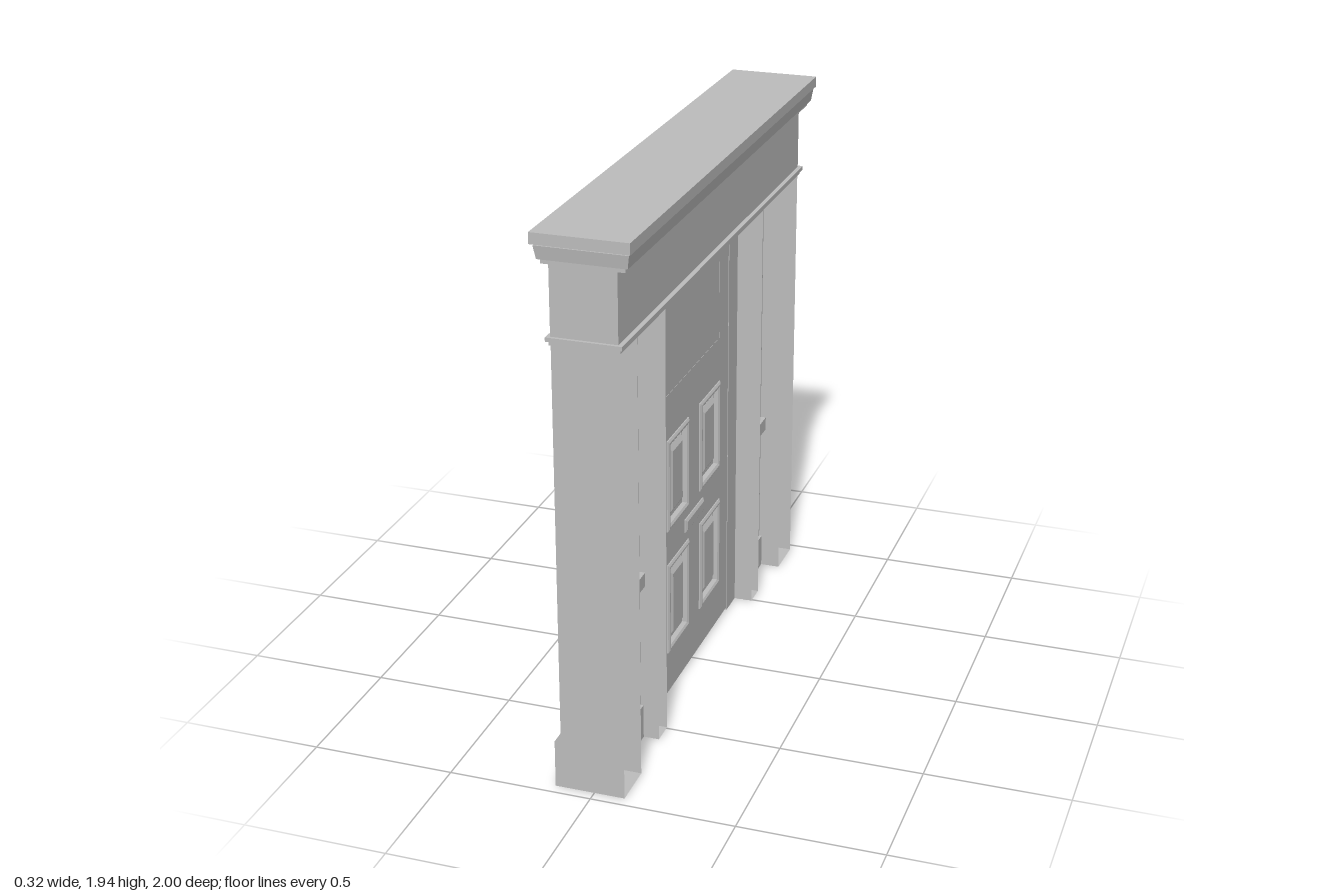
import * as THREE from 'three';

const stone = new THREE.MeshStandardMaterial({ color: 0xbcbcbc, side: THREE.DoubleSide });
stone.name = 'plain grey';

export function createModel() {
  const root = new THREE.Group();
  root.name = 'doorway';

  const add = (name, geometry, x = 0, y = 0, z = 0) => {
    const mesh = new THREE.Mesh(geometry, stone);
    mesh.name = name;
    mesh.position.set(x, y, z);
    root.add(mesh);
    return mesh;
  };

  const box = (name, x0, x1, y0, y1, z0, z1) =>
    add(name, new THREE.BoxGeometry(x1 - x0, y1 - y0, Math.abs(z1 - z0)),
      (x0 + x1) / 2, (y0 + y1) / 2, (z0 + z1) / 2);

  // Upright plate: rectangles are [z0, z1, y0, y1], thickness runs from x0 to x1
  const trace = (path, [z0, z1, y0, y1]) => {
    path.moveTo(z0, y0); path.lineTo(z1, y0); path.lineTo(z1, y1); path.lineTo(z0, y1); path.closePath();
    return path;
  };
  const extrude = (name, shape, x0, x1, bevel = 0) => {
    const g = new THREE.ExtrudeGeometry(shape, {
      depth: x1 - x0 - 2 * bevel, bevelEnabled: bevel > 0, bevelThickness: bevel,
      bevelSize: bevel * 1.6, bevelOffset: -bevel * 1.6, bevelSegments: 1,
    });
    g.rotateY(-Math.PI / 2);
    return add(name, g, x1 - bevel);
  };
  const plate = (name, rect, x0, x1, holes = [], bevel = 0) => {
    const shape = trace(new THREE.Shape(), rect);
    holes.forEach(h => shape.holes.push(trace(new THREE.Path(), h)));
    return extrude(name, shape, x0, x1, bevel);
  };
  const shrink = ([a, b, c, d], m) => [a + m, b - m, c + m, d - m];
  const frame = (name, rect, w, x0, x1, bevel = 0) => plate(name, rect, x0, x1, [shrink(rect, w)], bevel);

  // Octagonal tracery ring
  const octagon = (name, zc, yc, rz, ry, w, x0, x1) => {
    const points = k => Array.from({ length: 8 }, (_, i) => {
      const a = (i + 0.5) * Math.PI / 4;
      return new THREE.Vector2(zc + Math.cos(a) * (rz - k), yc + Math.sin(a) * (ry - k));
    });
    const shape = new THREE.Shape(points(0));
    shape.holes.push(new THREE.Path(points(w)));
    extrude(name, shape, x0, x1);
  };

  // Open shell joining equal cross-sections of [x, y, z] points
  const shell = (name, sections, mirrored) => {
    const pos = [];
    for (let i = 0; i + 1 < sections.length; i++) {
      for (let j = 0; j + 1 < sections[i].length; j++) {
        const a = sections[i][j], b = sections[i][j + 1], c = sections[i + 1][j + 1], d = sections[i + 1][j];
        (mirrored ? [a, b, c, a, c, d] : [a, c, b, a, d, c]).forEach(p => pos.push(...p));
      }
    }
    const g = new THREE.BufferGeometry();
    g.setAttribute('position', new THREE.Float32BufferAttribute(pos, 3));
    g.computeVertexNormals();
    add(name, g);
  };
  const foot = (name, x0, x1, z0, z1) => {
    const g = new THREE.PlaneGeometry(x1 - x0, Math.abs(z1 - z0));
    g.rotateX(Math.PI / 2);
    add(name, g, (x0 + x1) / 2, 0, (z0 + z1) / 2);
  };

  for (const s of [1, -1]) {
    const span = (a, b, c, d) => s > 0 ? [a, b, c, d] : [-b, -a, c, d];

    // Fluted pilaster with a plinth, hollow behind
    const section = (y, x, depth) => {
      const pts = [[0.106, y, s * 0.8], [x, y, s * 0.8]];
      for (const c of [0.837, 0.88, 0.923]) {
        [[-0.015, 0], [-0.009, depth], [0.009, depth], [0.015, 0]]
          .forEach(([dz, dx]) => pts.push([x + dx, y, s * (c + dz)]));
      }
      pts.push([x, y, s * 0.962], [0.106, y, s * 0.962]);
      return pts;
    };
    shell('pilaster', [[0, -0.137, 0], [0.17, -0.137, 0], [0.205, -0.115, 0], [0.25, -0.115, 0],
      [0.255, -0.115, 0.012], [1.525, -0.115, 0.012], [1.53, -0.115, 0], [1.58, -0.115, 0]]
      .map(v => section(...v)), s < 0);
    foot('pilasterFoot', -0.137, 0.106, s * 0.8, s * 0.962);

    // Moulded jamb post, hollow behind
    const jamb = y => [[0.09, 0.493], [-0.075, 0.493], [-0.075, 0.505], [-0.09, 0.512], [-0.09, 0.558],
      [-0.075, 0.565], [-0.075, 0.577], [0.09, 0.577]].map(([x, z]) => [x, y, s * z]);
    shell('jamb', [jamb(0), jamb(1.58)], s < 0);
    foot('jambFoot', -0.085, 0.09, s * 0.493, s * 0.577);

    // Side window over a raised panel
    const upper = span(0.612, 0.778, 0.66, 1.555), lower = span(0.6, 0.785, 0.15, 0.575);
    plate('sideFrame', span(0.575, 0.802, 0, 1.58), -0.03, 0.025, [upper, lower]);
    plate('sideCore', span(0.59, 0.8, 0.1, 1.57), -0.008, 0.008);
    plate('sidePanel', span(0.63, 0.755, 0.2, 0.53), -0.026, 0.022, [], 0.012);
    frame('sideBead', lower, 0.012, -0.022, 0.018);
    frame('sideGlassBead', upper, 0.01, -0.02, 0.016);
    box('sideRail', -0.055, 0.045, 0.585, 0.635, s * 0.578, s * 0.8);
    box('sideBase', -0.05, 0.035, 0, 0.125, s * 0.578, s * 0.8);
    for (const y of [0.87, 1.2]) octagon('sideTracery', s * 0.695, y, 0.042, 0.058, 0.008, -0.016, -0.006);
    for (const [y0, y1] of [[0.67, 0.812], [0.928, 1.142], [1.258, 1.545]])
      box('sideGlazingBar', -0.015, -0.006, y0, y1, s * 0.691, s * 0.699);

    // Door casing
    box('casing', -0.035, 0.022, 0, 1.58, s * 0.392, s * 0.495);
    box('casingBead', -0.045, -0.03, 0, 1.49, s * 0.392, s * 0.415);

    // Frieze corner block
    const block = span(0.785, 0.965, 1.58, 1.85);
    plate('cornerBlock', block, -0.105, 0.106);
    frame('cornerFrame', block, 0.035, -0.115, -0.1);
    plate('cornerBoss', span(0.835, 0.915, 1.67, 1.755), -0.119, -0.09, [], 0.012);
  }

  box('casingHead', -0.035, 0.022, 1.49, 1.58, -0.495, 0.495);
  box('threshold', -0.085, 0.012, 0, 0.035, -0.493, 0.493);

  // Door leaf with sunk panels and a window
  const windowRect = [-0.29, 0.29, 1.15, 1.44];
  const panels = [];
  for (const [z0, z1] of [[0.062, 0.288], [-0.288, -0.062]])
    for (const [y0, y1] of [[0.17, 0.515], [0.645, 0.985]]) panels.push([z0, z1, y0, y1]);
  plate('doorLeaf', [-0.392, 0.392, 0.01, 1.49], -0.02, 0.02, [windowRect, ...panels]);
  plate('doorCore', [-0.39, 0.39, 0.02, 1.48], -0.006, 0.006);
  plate('windowBack', windowRect, 0.005, 0.019);
  for (const p of panels) {
    frame('panelMoulding', p, 0.022, -0.029, 0.029, 0.005);
    plate('panelField', shrink(p, 0.042), -0.022, 0.022, [], 0.012);
  }
  box('weatherBar', -0.04, -0.015, 0.035, 0.085, -0.39, 0.39);

  // Window tracery
  frame('windowFrame', windowRect, 0.016, -0.028, 0.004);
  octagon('windowOctagon', 0, 1.295, 0.14, 0.105, 0.012, -0.018, -0.004);
  for (const s of [1, -1]) {
    box('windowBar', -0.016, -0.004, 1.16, 1.43, s * 0.195, s * 0.205);
    box('windowCrossBar', -0.016, -0.004, 1.29, 1.3, s * 0.125, s * 0.28);
    box('windowUpright', -0.016, -0.004, 1.295 + s * 0.09, 1.295 + s * 0.135, -0.005, 0.005);
    box('windowCornerBar', -0.016, -0.004, 1.29 + s * 0.075, 1.3 + s * 0.075, 0.1, 0.2);
    box('windowCornerBar', -0.016, -0.004, 1.29 + s * 0.075, 1.3 + s * 0.075, -0.2, -0.1);
  }

  // Letter plate and knob
  plate('letterPlate', [-0.1, 0.1, 0.555, 0.605], -0.03, 0.03, [], 0.006);
  const stem = add('knobStem', new THREE.CylinderGeometry(0.008, 0.012, 0.03, 12), -0.033, 0.66, 0.345);
  stem.rotation.z = Math.PI / 2;
  add('knob', new THREE.SphereGeometry(0.018, 16, 12), -0.055, 0.66, 0.345);

  // Frieze with a long framed panel
  box('frieze', -0.09, 0.106, 1.575, 1.85, -0.79, 0.79);
  plate('friezeBorder', [-0.785, 0.785, 1.6, 1.84], -0.105, -0.085, [[-0.69, 0.69, 1.65, 1.79]]);
  frame('friezeMoulding', [-0.665, 0.665, 1.668, 1.772], 0.022, -0.113, -0.085, 0.005);

  // Band beneath the frieze
  box('bandLower', -0.12, 0.113, 1.572, 1.586, -0.968, 0.968);
  box('bandUpper', -0.128, 0.122, 1.586, 1.6, -0.976, 0.976);

  // Stepped cornice with a sloping moulding
  box('corniceBed', -0.137, 0.135, 1.836, 1.852, -0.975, 0.975);
  const cove = new THREE.BoxGeometry(1, 0.045, 1);
  const p = cove.attributes.position;
  for (let i = 0; i < p.count; i++) {
    const top = p.getY(i) > 0;
    p.setX(i, Math.sign(p.getX(i)) * (top ? 0.153 : 0.146));
    p.setZ(i, Math.sign(p.getZ(i)) * (top ? 0.992 : 0.985));
  }
  cove.computeVertexNormals();
  add('corniceCove', cove, 0, 1.8745, 0);
  box('corniceCap', -0.163, 0.16, 1.902, 1.94, -1, 1);

  return root;
}
